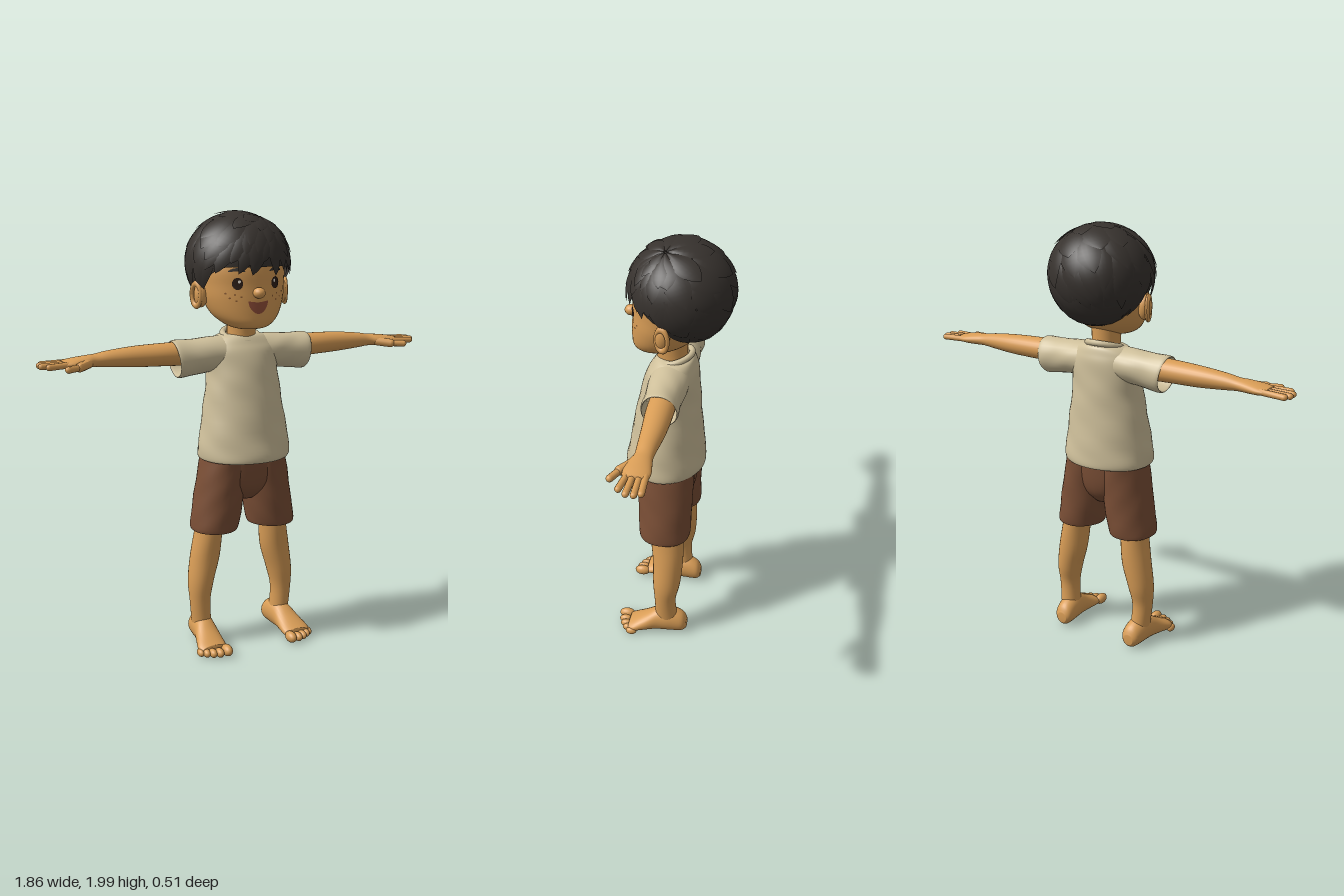
import * as THREE from 'three';
import { mergeGeometries } from 'three/addons/utils/BufferGeometryUtils.js';

const material = (name, color) => Object.assign(new THREE.MeshStandardMaterial({ color }), { name });

// Smoothly resample rows of numbers (Catmull-Rom per column)
function resample(rows, steps) {
  const at = (i) => rows[Math.max(0, Math.min(rows.length - 1, i))], out = [];
  for (let i = 0; i < rows.length - 1; i++)
    for (let s = 0; s < steps; s++) {
      const t = s / steps, [a, b, c, d] = [at(i - 1), at(i), at(i + 1), at(i + 2)];
      out.push(b.map((v, k) => 0.5 * (2 * v + (c[k] - a[k]) * t + (2 * a[k] - 5 * v + 4 * c[k] - d[k]) * t * t
        + (3 * v - a[k] - 3 * c[k] + d[k]) * t * t * t)));
    }
  out.push(at(rows.length - 1));
  return out;
}

function build(points, index) {
  const g = new THREE.BufferGeometry();
  g.setAttribute('position', new THREE.Float32BufferAttribute(points, 3));
  g.setIndex(index);
  g.computeVertexNormals();
  return g;
}

// Closed tube of elliptical rings; rows are [t, c1, c2, r1, r2]
// axis y: t=y, 1=x, 2=z   axis x: t=x, 1=z, 2=y   axis z: t=z, 1=y, 2=x
function loft(axis, rows, { wrinkle = 0, slant = 0, sides = 28, steps = 5 } = {}) {
  const rings = resample(rows, steps), pts = [], idx = [];
  const first = rings[0], last = rings[rings.length - 1];
  rings.unshift([first[0], first[1], first[2], 0, 0]);
  rings.push([last[0], last[1], last[2], 0, 0]);
  rings.forEach(([t, c1, c2, r1, r2], i) => {
    for (let j = 0; j < sides; j++) {
      const a = j / sides * Math.PI * 2;
      const f = 1 + wrinkle * (Math.sin(3 * a + t * 31) + Math.sin(5 * a - t * 47));
      const p = c1 + r1 * f * Math.cos(a), q = c2 + r2 * f * Math.sin(a), h = t + slant * (q - c2);
      pts.push(...(axis === 'y' ? [p, h, q] : axis === 'x' ? [h, q, p] : [q, p, h]));
      if (i < rings.length - 1) {
        const k = i * sides + j, n = i * sides + (j + 1) % sides;
        idx.push(k, k + sides, n + sides, k, n + sides, n);
      }
    }
  });
  return build(pts, idx);
}

// Open sheet from a rule fn(u, v)
function sheet(nu, nv, fn) {
  const pts = [], idx = [];
  for (let i = 0; i <= nu; i++) for (let j = 0; j <= nv; j++) {
    pts.push(...fn(i / nu, j / nv).toArray());
    if (i < nu && j < nv) {
      const a = i * (nv + 1) + j, b = a + nv + 1;
      idx.push(a, b, b + 1, a, b + 1, a + 1);
    }
  }
  return build(pts, idx);
}

function capsule(a, b, r) {
  const A = new THREE.Vector3(...a), B = new THREE.Vector3(...b), d = B.clone().sub(A);
  const q = new THREE.Quaternion().setFromUnitVectors(new THREE.Vector3(0, 1, 0), d.clone().normalize());
  const m = new THREE.Matrix4().compose(A.add(B).multiplyScalar(0.5), q, new THREE.Vector3(1, 1, 1));
  return new THREE.CapsuleGeometry(r, d.length(), 5, 12).applyMatrix4(m);
}
const blob = (x, y, z, rx, ry, rz) => new THREE.SphereGeometry(1, 20, 14).scale(rx, ry, rz).translate(x, y, z);
const merge = (list) => mergeGeometries(list.map((g) => { g.deleteAttribute('uv'); return g; }));

function mirrored(geo) {
  const g = geo.clone().scale(-1, 1, 1), ix = g.index.array;
  for (let i = 0; i < ix.length; i += 3) [ix[i], ix[i + 1]] = [ix[i + 1], ix[i]];
  g.computeVertexNormals();
  return g;
}

export function createModel() {
  const skin = material('skin', 0xd99d56), cloth = material('shirt cream', 0xcfc09b);
  const brown = material('shorts brown', 0x7b4f36), black = material('hair black', 0x37322e);
  const dark = material('eye dark', 0x2e1f17), red = material('mouth red', 0x94503a);
  const white = material('eye glint', 0xf2ece0), spot = material('freckle', 0x8a5a30);
  black.side = cloth.side = brown.side = THREE.DoubleSide;

  const model = new THREE.Group();
  const add = (name, geo, mat) => {
    const m = new THREE.Mesh(geo, mat);
    m.name = name;
    model.add(m);
  };
  const pair = (name, geo, mat) => {
    add('left' + name, geo, mat);
    add('right' + name, mirrored(geo), mat);
  };

  // Shirt
  add('shirt', loft('y', [[0.93, 0, 0.05, 0.19, 0.16], [0.897, 0, 0.053, 0.208, 0.175], [0.915, 0, 0.053, 0.217, 0.184],
    [1.0, 0, 0.05, 0.208, 0.172], [1.2, 0, 0.04, 0.177, 0.145], [1.3, 0, 0.031, 0.168, 0.13], [1.38, 0, 0.022, 0.172, 0.114],
    [1.42, 0, 0.015, 0.15, 0.097], [1.445, 0, 0.01, 0.115, 0.085], [1.455, 0, 0.008, 0.08, 0.075]],
  { wrinkle: 0.007, sides: 48 }), cloth);
  add('collar', new THREE.TorusGeometry(0.08, 0.014, 10, 36).rotateX(Math.PI / 2 + 0.28).translate(0, 1.448, 0.015), cloth);
  pair('Sleeve', loft('x', [[0.06, 0.018, 1.375, 0.09, 0.075], [0.15, 0.018, 1.37, 0.088, 0.077], [0.24, 0.018, 1.362, 0.08, 0.08],
    [0.31, 0.018, 1.357, 0.082, 0.085], [0.319, 0.018, 1.357, 0.074, 0.077], [0.25, 0.018, 1.365, 0.066, 0.068]],
  { wrinkle: 0.007, slant: 0.14 }), cloth);

  // Shorts
  add('shortsSeat', loft('y', [[0.7, 0, 0.038, 0.05, 0.07], [0.75, 0, 0.04, 0.13, 0.112], [0.82, 0, 0.04, 0.19, 0.13],
    [0.93, 0, 0.04, 0.19, 0.137]]), brown);
  pair('ShortsLeg', loft('y', [[0.62, 0.145, 0.036, 0.085, 0.09], [0.568, 0.143, 0.036, 0.1, 0.11], [0.58, 0.142, 0.036, 0.112, 0.121],
    [0.75, 0.115, 0.037, 0.113, 0.127], [0.92, 0.095, 0.04, 0.1, 0.135]], { wrinkle: 0.008, sides: 36 }), brown);

  // Arms with hands
  const fingers = [[-0.035, 0.905, -0.042], [-0.012, 0.918, -0.016], [0.013, 0.917, 0.016], [0.036, 0.893, 0.05]];
  pair('Arm', merge([
    loft('x', [[0.22, 0.01, 1.378, 0.058, 0.055], [0.36, 0.006, 1.38, 0.059, 0.051], [0.5, 0, 1.38, 0.052, 0.046],
      [0.62, 0, 1.379, 0.042, 0.036], [0.68, 0, 1.377, 0.039, 0.028], [0.72, 0.004, 1.375, 0.048, 0.027],
      [0.78, 0.004, 1.372, 0.057, 0.023], [0.825, 0.002, 1.371, 0.05, 0.016]]),
    ...fingers.map(([z, x2, z2]) => capsule([0.79, 1.372, z], [x2, 1.369, z2], 0.014)),
    capsule([0.72, 1.37, 0.035], [0.77, 1.364, 0.075], 0.02), capsule([0.77, 1.364, 0.075], [0.825, 1.362, 0.1], 0.015),
  ]), skin);

  // Legs and feet
  pair('Leg', loft('y', [[0.07, 0.202, 0.015, 0.045, 0.055], [0.2, 0.212, 0.022, 0.048, 0.051], [0.3, 0.205, 0.016, 0.06, 0.065],
    [0.42, 0.182, 0.013, 0.069, 0.072], [0.55, 0.165, 0.02, 0.063, 0.078], [0.68, 0.15, 0.03, 0.065, 0.075]]), skin);
  const toes = [[0.166, 0.225, 0.026], [0.203, 0.225, 0.021], [0.232, 0.215, 0.02], [0.258, 0.2, 0.019], [0.279, 0.182, 0.018]];
  pair('Foot', merge([
    loft('z', [[-0.082, 0.046, 0.195, 0.025, 0.025], [-0.06, 0.056, 0.196, 0.052, 0.044], [0, 0.068, 0.2, 0.067, 0.052],
      [0.06, 0.064, 0.205, 0.063, 0.053], [0.12, 0.046, 0.212, 0.045, 0.062], [0.17, 0.032, 0.218, 0.031, 0.068],
      [0.2, 0.026, 0.217, 0.022, 0.06]]),
    ...toes.map(([x, z, r]) => blob(x, r, z, r * 0.9, r, r * 1.5)),
  ]), skin);

  // Neck, head, nose and ears
  add('neck', loft('y', [[1.38, 0, 0.02, 0.07, 0.072], [1.46, 0, 0.025, 0.064, 0.068], [1.57, 0, 0.03, 0.07, 0.075]]), skin);
  const headRows = [[1.487, 0, 0.105, 0.035, 0.035], [1.496, 0, 0.105, 0.08, 0.078], [1.52, 0, 0.086, 0.123, 0.112],
    [1.56, 0, 0.06, 0.16, 0.14], [1.62, 0, 0.04, 0.185, 0.158], [1.68, 0, 0.026, 0.195, 0.168], [1.76, 0, 0.018, 0.198, 0.172],
    [1.86, 0, 0, 0.17, 0.16], [1.94, 0, 0, 0.08, 0.08]];
  add('head', loft('y', headRows, { sides: 40 }), skin);
  add('nose', blob(0, 1.652, 0.206, 0.027, 0.024, 0.03), skin);
  pair('Ear', merge([blob(0.198, 1.637, 0.03, 0.03, 0.056, 0.034),
    new THREE.TorusGeometry(0.036, 0.011, 8, 24).scale(0.8, 1.35, 1).rotateY(Math.PI / 2 - 0.35).translate(0.218, 1.637, 0.027)]), skin);

  // Painted face: thin patches that follow the curve of the head
  const dense = resample(headRows, 12);
  const faceZ = (x, y) => {
    const i = Math.max(1, dense.findIndex((r) => r[0] >= y)), a = dense[i - 1], b = dense[i];
    const k = (y - a[0]) / (b[0] - a[0]), mix = (c) => a[c] + (b[c] - a[c]) * k;
    return mix(2) + mix(4) * Math.sqrt(Math.max(0, 1 - (x / mix(3)) ** 2));
  };
  const patch = (x, y, w, h, lift = 0.004, top = 1, tilt = 0) => {
    const g = new THREE.RingGeometry(0.001, 1, 24, 4), p = g.attributes.position;
    for (let i = 0; i < p.count; i++) {
      const a = p.getX(i), b = p.getY(i), px = x + a * w, py = y + (b > 0 ? b * top : b) * h + tilt * a * a;
      p.setXYZ(i, px, py, faceZ(px, py) + lift);
    }
    g.computeVertexNormals();
    return g;
  };
  pair('Eye', patch(0.09, 1.692, 0.022, 0.026), dark);
  pair('EyeGlint', patch(0.084, 1.701, 0.006, 0.007, 0.006), white);
  pair('Eyebrow', patch(0.092, 1.752, 0.034, 0.007, 0.004, 1, -0.008), black);
  add('mouth', patch(0, 1.603, 0.047, 0.042, 0.004, 0.2, 0.012), red);
  pair('Freckles', merge([[0.075, 1.635], [0.1, 1.645], [0.12, 1.63], [0.095, 1.618], [0.135, 1.65]]
    .map(([x, y]) => patch(x, y, 0.004, 0.004, 0.002))), spot);

  // Hair: a cap, a filling mass and overlapping pointed locks fanning from the crown
  let seed = 7;
  const rand = () => (seed = (seed * 16807) % 2147483647) / 2147483647;
  const { smoothstep } = THREE.MathUtils;
  const crown = new THREE.Quaternion().setFromUnitVectors(new THREE.Vector3(0, 1, 0), new THREE.Vector3(0.38, 1, 0.25).normalize());
  const centre = new THREE.Vector3(0, 1.77, -0.015), radii = new THREE.Vector3(0.23, 0.213, 0.227);
  const hairPoint = (theta, phi, f) => new THREE.Vector3(Math.sin(theta) * Math.sin(phi), Math.cos(theta), Math.sin(theta) * Math.cos(phi))
    .applyQuaternion(crown).multiply(radii).multiplyScalar(f).add(centre);
  const hairEnd = (phi) => {
    let theta = 0.5;
    for (; theta < 2.8; theta += 0.02) {
      const p = hairPoint(theta, phi, 1);
      if (p.y < 1.575 + 0.105 * smoothstep(p.z, -0.06, 0) + 0.07 * smoothstep(p.z, 0.04, 0.17)) break;
    }
    return theta;
  };
  add('hairCap', sheet(20, 60, (u, v) => hairPoint(u * hairEnd(v * Math.PI * 2) * 0.95, v * Math.PI * 2, 0.98)), black);
  add('hairMass', blob(0, 1.745, -0.06, 0.212, 0.195, 0.18), black);
  const locks = [];
  [[0.3, 8], [0.46, 11], [0.62, 14], [0.77, 17], [0.9, 20], [1.02, 23]].forEach(([t, count], row) => {
    for (let k = 0; k < count; k++) {
      const phi = (k + row * 0.5 + (rand() - 0.5) * 0.5) / count * Math.PI * 2;
      const end = hairEnd(phi) * (t + (rand() - 0.5) * 0.07), start = Math.max(0.03, end - 0.85);
      const half = Math.PI / count * (1.2 + rand() * 0.3), lift = 0.045 + rand() * 0.035, swirl = (rand() - 0.3) * 0.25;
      locks.push(sheet(9, 6, (u, v) => {
        const s = v * 2 - 1, width = half * Math.sin(Math.PI * (0.25 + 0.75 * u)) ** 0.8;
        return hairPoint(start + (end - start) * u, phi + s * width + swirl * u * u,
          0.985 + 0.02 * (1 - t) + lift * u + 0.035 * (1 - s * s) * (1 - u));
      }));
    }
  });
  add('hairLocks', merge(locks), black);
  return model;
}
